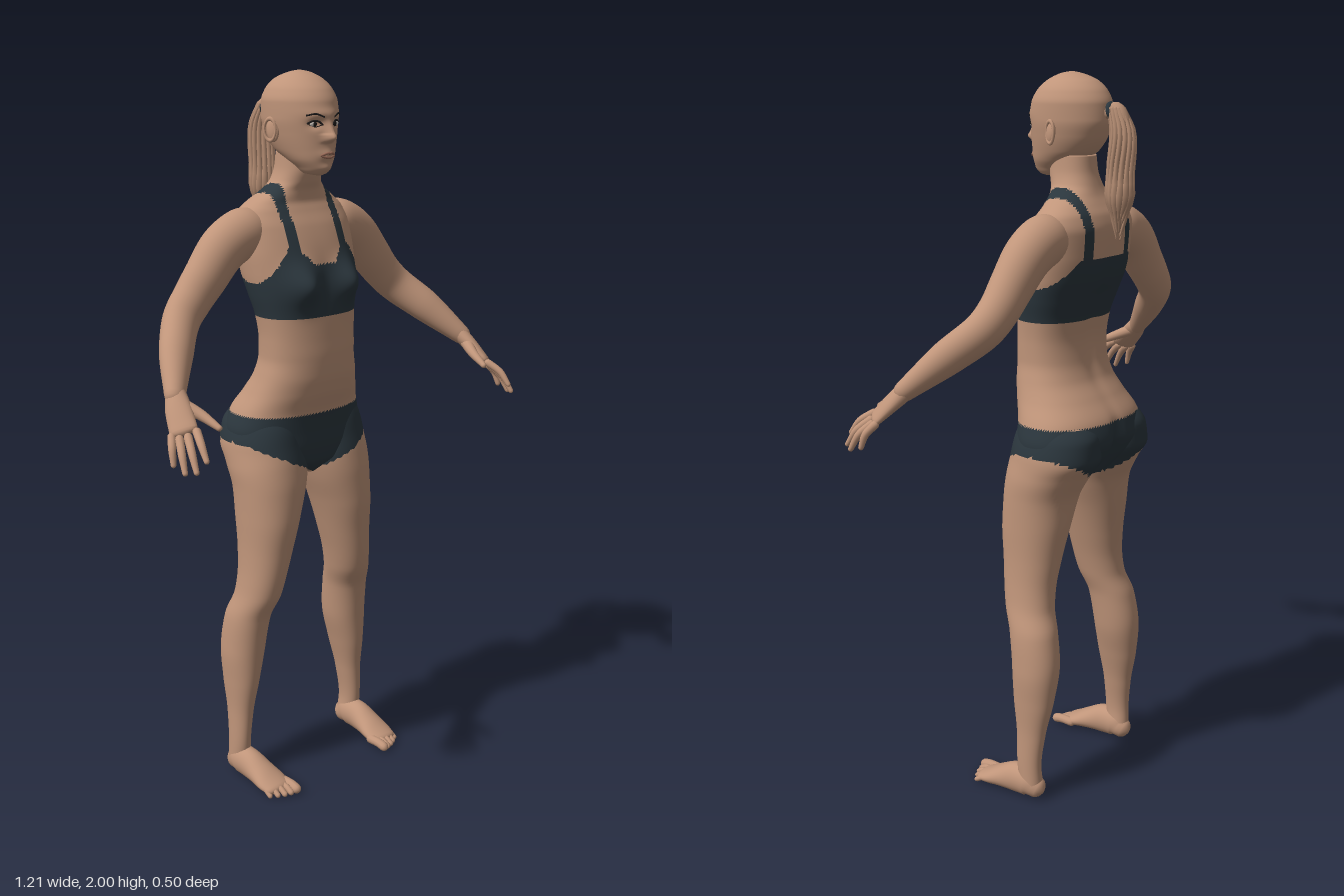
import * as THREE from 'three';

const mat = (name, color) => Object.assign(new THREE.MeshStandardMaterial({ color }), { name });
const skin = mat('skin', 0xc0957a), cloth = mat('dark cloth', 0x2b363d), hair = mat('hair', 0xb58d73);
const lip = mat('lips', 0x9a6b58), white = mat('eye white', 0xd8d0c8), dark = mat('lash', 0x1c1a1a);
const V = (x, y, z) => new THREE.Vector3(x, y, z);
const gauss = (a, b = 0) => Math.exp(-a * a - b * b);
const spow = (v, e) => Math.sign(v) * Math.abs(v) ** e;

// Closed skin over a list of rings; an optional rule puts faces in the second material group
function skinRings(rings, rule) {
  const n = rings[0].length, pts = rings.flat(), parts = [[], []];
  const tri = (...t) => {
    const c = V(0, 0, 0);
    t.forEach(i => c.addScaledVector(pts[i], 1 / 3));
    parts[rule && rule(c) ? 1 : 0].push(...t);
  };
  for (let i = 0; i < rings.length - 1; i++) for (let j = 0; j < n; j++) {
    const a = i * n + j, b = i * n + (j + 1) % n;
    tri(a, a + n, b); tri(b, a + n, b + n);
  }
  [0, rings.length - 1].forEach((r, end) => {
    const mid = pts.length, c = V(0, 0, 0);
    rings[r].forEach(p => c.addScaledVector(p, 1 / n));
    pts.push(c);
    for (let j = 0; j < n; j++) {
      const a = r * n + j, b = r * n + (j + 1) % n;
      end ? tri(mid, b, a) : tri(mid, a, b);
    }
  });
  const g = new THREE.BufferGeometry().setFromPoints(pts);
  g.setIndex([...parts[0], ...parts[1]]);
  if (rule) {
    g.addGroup(0, parts[0].length, 0);
    g.addGroup(parts[0].length, parts[1].length, 1);
  }
  g.computeVertexNormals();
  return g;
}

// Monotone smooth lookup in rows keyed by height
function at(rows, y) {
  let i = 0;
  while (i < rows.length - 2 && y > rows[i + 1][0]) i++;
  const h = rows[i + 1][0] - rows[i][0], t = (y - rows[i][0]) / h;
  const d = (k, c) => (rows[k + 1][c] - rows[k][c]) / (rows[k + 1][0] - rows[k][0]);
  const slope = (k, c) => {
    if (k === 0) return d(0, c);
    if (k === rows.length - 1) return d(k - 1, c);
    const a = d(k - 1, c), b = d(k, c);
    return a * b <= 0 ? 0 : 2 * a * b / (a + b);
  };
  return rows[i].map((v, c) => c === 0 ? y
    : v * (1 + 2 * t) * (1 - t) ** 2 + rows[i + 1][c] * t * t * (3 - 2 * t)
    + h * (slope(i, c) * t * (1 - t) ** 2 - slope(i + 1, c) * t * t * (1 - t)));
}

// Upright body form from rows [y, centre x, half width, front z, back z]
function loft(rows, power, sides, steps, bump, rule) {
  const y0 = rows[0][0], y1 = rows[rows.length - 1][0], rings = [];
  for (let i = 0; i <= steps; i++) {
    const k = i / steps, e = (1 - Math.cos(Math.PI * k)) / 2;
    const y = y0 + (y1 - y0) * (0.6 * k + 0.4 * e);
    const [, xc, rx, zf, zb] = at(rows, y);
    rings.push(Array.from({ length: sides }, (_, j) => {
      const a = j / sides * Math.PI * 2, s = Math.sin(a);
      const x = xc + rx * spow(Math.cos(a), 2 / power);
      const z = (zf + zb) / 2 + (zf - zb) / 2 * spow(s, 2 / power);
      return V(x, y, z + (bump ? bump(x, y, s) : 0));
    }));
  }
  return skinRings(rings, rule);
}

// Round-ended limb along points [x, y, z, radius along side, radius across]
function limb(rows, side, sides = 12, steps = 12) {
  const path = new THREE.CatmullRomCurve3(rows.map(r => V(r[0], r[1], r[2])));
  const size = new THREE.CatmullRomCurve3(rows.map(r => V(r[3], r[4] ?? r[3], 0)));
  const rings = [];
  const ring = (t, f, shift) => {
    const T = path.getTangent(t), O = side.clone().cross(T).normalize(), S = T.clone().cross(O);
    const r = size.getPoint(t), c = path.getPoint(t).addScaledVector(T, shift * Math.min(r.x, r.y));
    rings.push(Array.from({ length: sides }, (_, j) => {
      const a = j / sides * Math.PI * 2;
      return c.clone().addScaledVector(S, f * r.x * Math.cos(a)).addScaledVector(O, f * r.y * Math.sin(a));
    }));
  };
  const caps = [0.2, 0.6, 0.88];
  caps.forEach(f => ring(0, f, -Math.sqrt(1 - f * f)));
  for (let i = 0; i <= steps; i++) ring(i / steps, 1, 0);
  caps.reverse().forEach(f => ring(1, f, Math.sqrt(1 - f * f)));
  return skinRings(rings);
}

function mirrored(geo) {
  const g = geo.clone().scale(-1, 1, 1), ix = g.index.array;
  for (let i = 0; i < ix.length; i += 3) [ix[i], ix[i + 1]] = [ix[i + 1], ix[i]];
  g.computeVertexNormals();
  return g;
}

// Where the two-piece outfit covers the body
function covered({ x, y, z }) {
  const ax = Math.abs(x);
  if (y < 1.09) return y > 0.905 + 0.5 * ax;
  if (y < 1.36) return false;
  if (ax > 0.072 && ax < 0.102) return true;
  if (z < -0.06) return y < 1.53 - Math.max(0, ax - 0.11) * 1.2;
  return y < (ax < 0.09 ? 1.5 + Math.max(0, ax - 0.035) * 1.1 : 1.55 - (ax - 0.102) * 1.4);
}

const torsoRows = [[0.905, 0.02, 0, -0.1], [0.925, 0.07, 0.02, -0.14], [0.95, 0.17, 0.035, -0.165],
  [1, 0.212, 0.042, -0.205], [1.04, 0.214, 0.043, -0.219], [1.09, 0.2, 0.047, -0.21], [1.15, 0.172, 0.064, -0.172],
  [1.2, 0.155, 0.072, -0.14], [1.25, 0.145, 0.073, -0.126], [1.3, 0.146, 0.07, -0.122], [1.36, 0.152, 0.066, -0.13],
  [1.42, 0.165, 0.06, -0.15], [1.48, 0.175, 0.05, -0.172], [1.54, 0.18, 0.035, -0.182], [1.6, 0.18, 0.012, -0.185],
  [1.64, 0.165, -0.01, -0.175], [1.665, 0.135, -0.02, -0.16], [1.69, 0.095, -0.018, -0.145],
  [1.715, 0.068, -0.008, -0.135], [1.75, 0.058, 0, -0.125], [1.79, 0.055, 0, -0.12]].map(([y, ...r]) => [y, 0, ...r]);
const legRows = [[0.04, 0.218, 0.03, -0.045, -0.115], [0.1, 0.221, 0.027, -0.038, -0.112],
  [0.2, 0.215, 0.032, -0.033, -0.122], [0.3, 0.207, 0.045, -0.02, -0.142], [0.4, 0.198, 0.058, -0.012, -0.152],
  [0.5, 0.189, 0.06, 0.002, -0.138], [0.57, 0.172, 0.06, 0.03, -0.115], [0.62, 0.163, 0.062, 0.04, -0.112],
  [0.7, 0.15, 0.07, 0.05, -0.12], [0.8, 0.136, 0.085, 0.06, -0.137], [0.88, 0.123, 0.1, 0.058, -0.15],
  [0.95, 0.115, 0.11, 0.05, -0.185], [1, 0.112, 0.11, 0.04, -0.216], [1.05, 0.108, 0.103, 0.03, -0.214],
  [1.1, 0.1, 0.085, 0.01, -0.18], [1.12, 0.1, 0.05, -0.02, -0.12]];
const headRows = [[1.732, 0.005, 0.03, 0], [1.738, 0.03, 0.042, -0.03], [1.755, 0.045, 0.054, -0.06],
  [1.775, 0.06, 0.058, -0.09], [1.8, 0.072, 0.06, -0.13], [1.84, 0.084, 0.062, -0.158], [1.88, 0.091, 0.064, -0.17],
  [1.92, 0.092, 0.058, -0.168], [1.95, 0.083, 0.042, -0.155], [1.975, 0.064, 0.015, -0.13],
  [1.99, 0.04, -0.013, -0.098], [1.997, 0.02, -0.035, -0.072], [2, 0.001, -0.054, -0.056]].map(([y, ...r]) => [y, 0, ...r]);

// Bust, spine groove and cleft
const torsoBump = (x, y, s) => s > 0
  ? 0.042 * gauss((Math.abs(x) - 0.08) / 0.045, (y - 1.45) / 0.05) * Math.min(1, s * 2)
  : 0.03 * gauss(x / 0.02, (y - 0.99) / 0.075) + 0.008 * gauss(x / 0.025, (y - 1.35) / 0.17);
// Nose, eye sockets, brow, mouth and chin
const noseRows = [[1.7, 0], [1.815, 0], [1.824, 0.02], [1.832, 0.028], [1.85, 0.017], [1.88, 0.003], [1.9, 0], [2.1, 0]];
const faceBump = (x, y, s) => s <= 0 ? 0 : Math.min(1, s * 2) * (
  at(noseRows, y)[1] * gauss(x / (y < 1.84 ? 0.015 : 0.012))
  - 0.01 * gauss((Math.abs(x) - 0.035) / 0.018, (y - 1.866) / 0.013)
  + 0.004 * gauss(x / 0.05, (y - 1.892) / 0.012)
  + 0.007 * gauss(x / 0.025, (y - 1.787) / 0.014) + 0.006 * gauss(x / 0.02, (y - 1.752) / 0.012));
function onFace(x, y, lift = 0) {
  const [, , rx, zf, zb] = at(headRows, y), s = Math.sqrt(1 - (x / rx) ** 2);
  return [x, y, (zf + zb) / 2 + (zf - zb) / 2 * s + faceBump(x, y, s) + lift];
}

export function createModel() {
  const model = new THREE.Group();
  const add = (name, geo, material) => {
    const m = new THREE.Mesh(geo, material);
    m.name = name;
    model.add(m);
  };
  const pair = (name, geo, material) => {
    add('left ' + name, geo, material);
    add('right ' + name, mirrored(geo), material);
  };
  const X = V(1, 0, 0), Z = V(0, 0, 1), Y = V(0, 1, 0);
  const ball = (x, y, z, a, b, c) => new THREE.SphereGeometry(1, 20, 14).scale(a, b, c).translate(x, y, z);

  // Body
  add('torso', loft(torsoRows, 2.3, 128, 150, torsoBump, covered), [skin, cloth]);
  pair('leg', loft(legRows, 2.1, 60, 110, null, covered), [skin, cloth]);
  pair('arm', limb([[0.11, 1.59, -0.09, 0.055, 0.05], [0.17, 1.583, -0.09, 0.064, 0.068],
    [0.235, 1.55, -0.09, 0.06, 0.066], [0.3, 1.48, -0.087, 0.053, 0.061], [0.345, 1.43, -0.085, 0.049, 0.056],
    [0.39, 1.385, -0.072, 0.046, 0.053], [0.455, 1.32, -0.01, 0.042, 0.048],
    [0.525, 1.235, 0.075, 0.026, 0.028]], Z, 36, 48), skin);

  // Hands
  const across = V(-0.045, 0.015, 0.045);
  pair('palm', limb([[0.52, 1.24, 0.07, 0.026, 0.024], [0.537, 1.205, 0.105, 0.034, 0.02],
    [0.553, 1.165, 0.145, 0.036, 0.014]], across, 24, 12), skin);
  const fingers = [[0.535, 1.165, 0.175, 0.555, 1.108, 0.238], [0.555, 1.153, 0.166, 0.579, 1.083, 0.229],
    [0.569, 1.147, 0.15, 0.594, 1.078, 0.203], [0.578, 1.15, 0.13, 0.598, 1.09, 0.162]];
  fingers.forEach(([a, b, c, d, e, f], i) => pair('finger ' + (i + 1), limb([[a, b, c, 0.011],
    [(a + d) / 2 + 0.004, (b + e) / 2 + 0.005, (c + f) / 2 + 0.004, 0.01], [d, e, f, 0.007]], across), skin));
  pair('thumb', limb([[0.522, 1.215, 0.1, 0.018], [0.5, 1.195, 0.145, 0.014], [0.486, 1.17, 0.2, 0.008]], Y), skin);

  // Feet
  pair('foot', limb([[0.217, 0.036, -0.092, 0.03, 0.033], [0.218, 0.045, -0.07, 0.035, 0.045],
    [0.218, 0.045, -0.03, 0.036, 0.045], [0.216, 0.034, 0.02, 0.042, 0.033],
    [0.214, 0.023, 0.06, 0.047, 0.022], [0.213, 0.016, 0.088, 0.043, 0.015]], X, 28, 24), skin);
  for (let i = 0; i < 5; i++) {
    const x = 0.177 + i * 0.0185, r = i ? 0.0095 - i * 0.0006 : 0.014, tip = 0.126 - i * i * 0.0018;
    pair('toe ' + (i + 1), limb([[x, 0.017, 0.07, r], [x, 0.018, tip - 0.02, r], [x, r, tip, r]], X, 10, 6), skin);
  }

  // Head and ears
  add('head', loft(headRows, 2, 112, 110, faceBump), skin);
  pair('ear', ball(0, 0, 0, 0.009, 0.03, 0.018).rotateY(-0.35).rotateX(-0.15).translate(0.092, 1.848, -0.055), skin);
  pair('ear rim', new THREE.TorusGeometry(0.02, 0.004, 8, 24).scale(0.85, 1.4, 1).rotateY(Math.PI / 2 - 0.35)
    .translate(0.099, 1.85, -0.058), skin);

  // Face details
  const stroke = (pts, a, b) => limb(pts.map(([x, y]) => [...onFace(x, y, 0.001), a, b]), Z, 8, 14);
  const [ex, ey, ez] = onFace(0.036, 1.866);
  pair('eye', ball(ex, ey, ez, 0.014, 0.0065, 0.004), white);
  pair('iris', ball(ex - 0.001, ey, ez + 0.003, 0.006, 0.006, 0.003), dark);
  pair('upper lash', stroke([[0.019, 1.865], [0.028, 1.873], [0.041, 1.874], [0.053, 1.868]], 0.003, 0.0026), dark);
  pair('lower lash', stroke([[0.021, 1.863], [0.035, 1.859], [0.05, 1.865]], 0.0015, 0.0012), dark);
  pair('eyebrow', stroke([[0.018, 1.884], [0.038, 1.892], [0.058, 1.888]], 0.0015, 0.0022), dark);
  add('upper lip', stroke([[-0.022, 1.786], [-0.007, 1.792], [0, 1.791], [0.007, 1.792], [0.022, 1.786]], 0.003, 0.0035), lip);
  add('lower lip', stroke([[-0.02, 1.784], [0, 1.78], [0.02, 1.784]], 0.003, 0.0035), lip);

  // Ponytail with loose strands and its tie
  const tail = [[1.895, -0.165, 0.014], [1.908, -0.195, 0.018], [1.85, -0.216, 0.028], [1.75, -0.21, 0.031],
    [1.66, -0.208, 0.022], [1.6, -0.206, 0.005]];
  add('ponytail', limb(tail.map(([y, z, r]) => [0, y, z, r, r]), X, 24, 36), hair);
  for (let i = 0; i < 14; i++) {
    const a = i / 14 * Math.PI * 2, drop = 0.022 * Math.sin(i * 5.3);
    add('hair strand ' + (i + 1), limb(tail.slice(1).map(([y, z, r], k) => [Math.cos(a + k * 0.12) * r,
      y + (k === 4 ? drop : 0), z + Math.sin(a + k * 0.12) * r, k === 4 ? 0.002 : 0.0065]), X, 6, 14), hair);
  }
  add('hair tie', new THREE.TorusGeometry(0.018, 0.008, 10, 28).rotateX(0.3).translate(0, 1.902, -0.184), cloth);
  return model;
}
